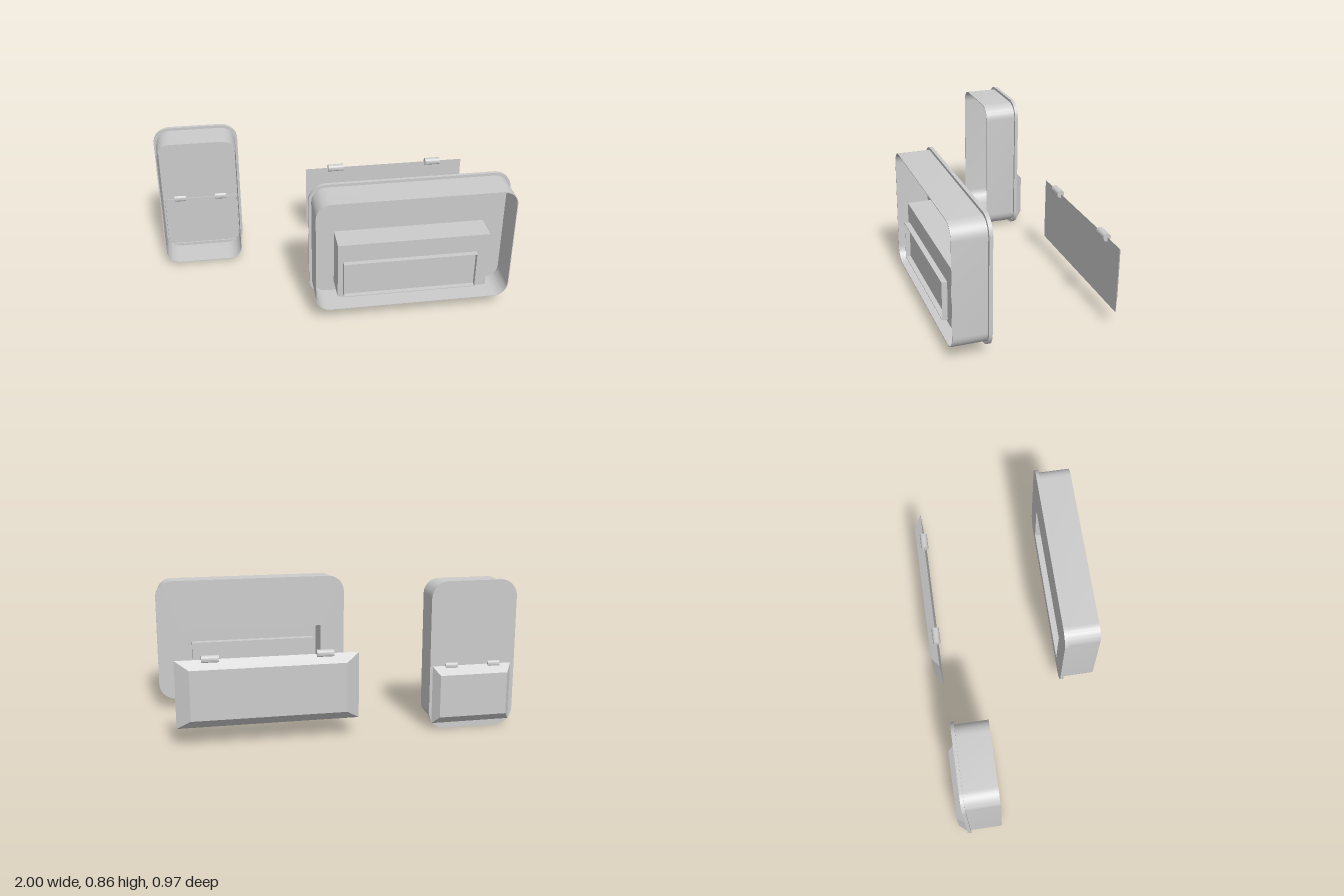
import * as THREE from 'three';
import { toCreasedNormals } from 'three/addons/utils/BufferGeometryUtils.js';

const material = new THREE.MeshStandardMaterial({ color: 0xcccccc, side: THREE.DoubleSide });

function add(parent, name, geometry) {
  const mesh = new THREE.Mesh(geometry, material);
  mesh.name = name;
  parent.add(mesh);
  return mesh;
}

function group(parent, name) {
  const g = new THREE.Group();
  g.name = name;
  parent.add(g);
  return g;
}

// Rectangle outline [x0, x1, y0, y1] with round corners
function outline([x0, x1, y0, y1], r, Type = THREE.Shape) {
  const s = new Type();
  if (r === 0) {
    s.moveTo(x0, y0).lineTo(x1, y0).lineTo(x1, y1).lineTo(x0, y1).closePath();
    return s;
  }
  s.absarc(x1 - r, y0 + r, r, -Math.PI / 2, 0);
  s.absarc(x1 - r, y1 - r, r, 0, Math.PI / 2);
  s.absarc(x0 + r, y1 - r, r, Math.PI / 2, Math.PI);
  s.absarc(x0 + r, y0 + r, r, Math.PI, Math.PI * 1.5);
  s.closePath();
  return s;
}

const inset = ([x0, x1, y0, y1], d) => [x0 + d, x1 - d, y0 + d, y1 - d];

// Plate between z0 and z1 with an optional hole
function plate(rect, r, z0, z1, hole, holeR = 0) {
  const shape = outline(rect, r);
  if (hole) shape.holes.push(outline(hole, holeR, THREE.Path));
  const geo = new THREE.ExtrudeGeometry(shape, { depth: z1 - z0, bevelEnabled: false, curveSegments: 7 });
  geo.translate(0, 0, z0);
  return toCreasedNormals(geo, 0.6);
}

// Open-fronted casing: rimmed back plate with a hatch hole, plus thin round walls
function casing(parent, rect, zBack, zFront, hatch) {
  const body = inset(rect, 0.016);
  add(parent, 'backPlate', plate(rect, 0.1, zBack, zBack + 0.02, hatch));
  add(parent, 'casingWalls', plate(body, 0.085, zBack + 0.02, zFront, inset(body, 0.004), 0.081));
}

// Cover with sloped edges, narrowing towards the back
function cover(front, back, zFront, zBack) {
  const geo = new THREE.BoxGeometry(1, 1, 1);
  const p = geo.attributes.position;
  for (let i = 0; i < p.count; i++) {
    const rect = p.getZ(i) > 0 ? front : back;
    p.setXYZ(i, rect[p.getX(i) > 0 ? 1 : 0], rect[p.getY(i) > 0 ? 3 : 2], p.getZ(i) > 0 ? zFront : zBack);
  }
  geo.computeVertexNormals();
  return geo;
}

// Pair of hinge barrels lying along x
function hinges(parent, centres, length, r, y, z) {
  for (const x of centres) {
    const geo = toCreasedNormals(new THREE.CylinderGeometry(r, r, length, 16).rotateZ(Math.PI / 2), 0.6);
    add(parent, 'hingeBarrel', geo).position.set(x, y, z);
  }
}

class Helix extends THREE.Curve {
  getPoint(t, target = new THREE.Vector3()) {
    const a = t * 11 * Math.PI * 2;
    return target.set(0.07 + 0.43 * t, 0.22 + 0.03 * Math.sin(a), 0.365 + 0.03 * Math.cos(a));
  }
}

export function createModel() {
  const model = new THREE.Group();
  model.name = 'casingSet';

  // Large casing with a compartment reached from the back
  const large = group(model, 'largeCasing');
  const bay = [-0.01, 0.855, 0.14, 0.485];
  casing(large, [-0.153, 0.998, 0.06, 0.79], 0.278, 0.485, inset(bay, 0.004));
  add(large, 'compartmentWalls', plate(bay, 0, 0.298, 0.45, inset(bay, 0.004)));
  add(large, 'compartmentFloor', plate(bay, 0, 0.445, 0.45));

  // Tray standing through the compartment floor, open to the front
  const tray = [0.02, 0.785, 0.155, 0.375];
  add(large, 'trayBlock', plate(tray, 0, 0.4, 0.452));
  add(large, 'trayWalls', plate(tray, 0, 0.45, 0.48, inset(tray, 0.004)));
  add(large, 'spring', new THREE.TubeGeometry(new Helix(), 220, 0.008, 6));

  // Loose cover behind the large casing
  const loose = group(model, 'looseCover');
  add(loose, 'largeCover', cover([-0.08, 0.925, 0.11, 0.487], [-0.005, 0.85, 0.16, 0.44], -0.44, -0.486));
  hinges(loose, [0.11, 0.735], 0.095, 0.022, 0.487, -0.438);

  // Small casing with its cover closed
  const small = group(model, 'smallCasing');
  const hatch = [-0.97, -0.525, 0.038, 0.37];
  casing(small, [-1, -0.5, 0, 0.855], -0.411, -0.205, hatch);
  add(small, 'coverPlug', plate(inset(hatch, 0.004), 0, -0.411, -0.393));
  add(small, 'smallCover', cover([-0.98, -0.515, 0.033, 0.37], [-0.945, -0.55, 0.08, 0.325], -0.41, -0.457));
  hinges(small, [-0.875, -0.625], 0.07, 0.022, 0.368, -0.402);

  return model;
}
